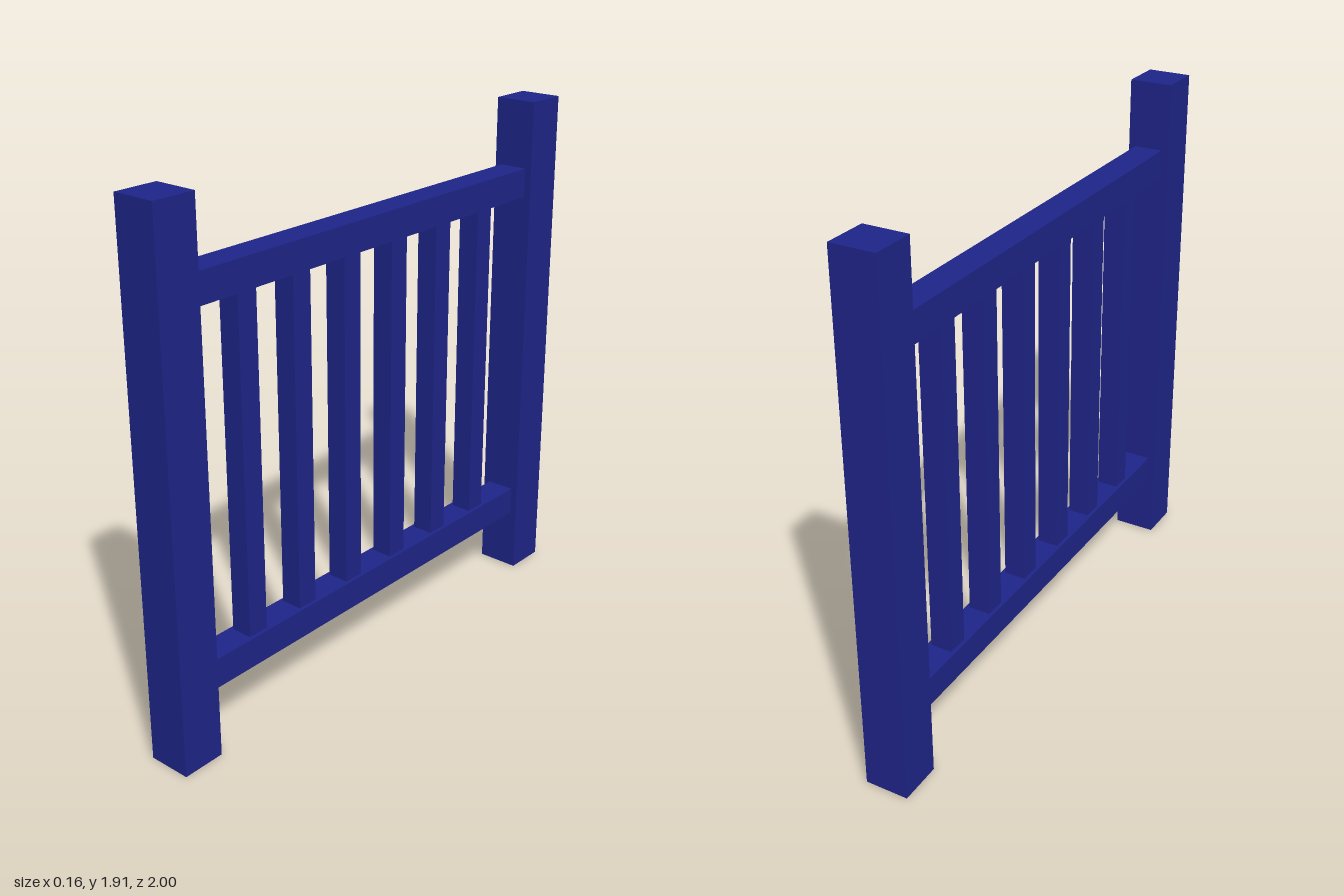
import * as THREE from 'three';

const POST = 0.16, POST_H = 1.915;
const RAIL = 0.108, RAIL_LEN = 2 - 2 * POST;
const BALUSTER = 0.08, SPACING = 0.244, COUNT = 6;
const LOW_RAIL_Y = 0.293, HIGH_RAIL_Y = 1.613;

export function createModel() {
  const model = new THREE.Group();
  model.name = 'railingPanel';
  const paint = new THREE.MeshStandardMaterial({ color: 0x1e2487 });

  const addBox = (name, w, h, d, y, z) => {
    const mesh = new THREE.Mesh(new THREE.BoxGeometry(w, h, d), paint);
    mesh.name = name;
    mesh.position.set(0, y, z);
    model.add(mesh);
  };

  // Square end posts
  for (const [name, side] of [['frontPost', 1], ['backPost', -1]]) {
    addBox(name, POST, POST_H, POST, POST_H / 2, side * (1 - POST / 2));
  }

  // Rails between the posts
  addBox('bottomRail', RAIL, RAIL, RAIL_LEN, LOW_RAIL_Y, 0);
  addBox('topRail', RAIL, RAIL, RAIL_LEN, HIGH_RAIL_Y, 0);

  // Evenly spaced balusters between the rails
  const height = HIGH_RAIL_Y - LOW_RAIL_Y - RAIL;
  for (let i = 0; i < COUNT; i++) {
    const z = (i - (COUNT - 1) / 2) * SPACING;
    addBox(`baluster${i + 1}`, BALUSTER, height, BALUSTER, (LOW_RAIL_Y + HIGH_RAIL_Y) / 2, z);
  }

  return model;
}
